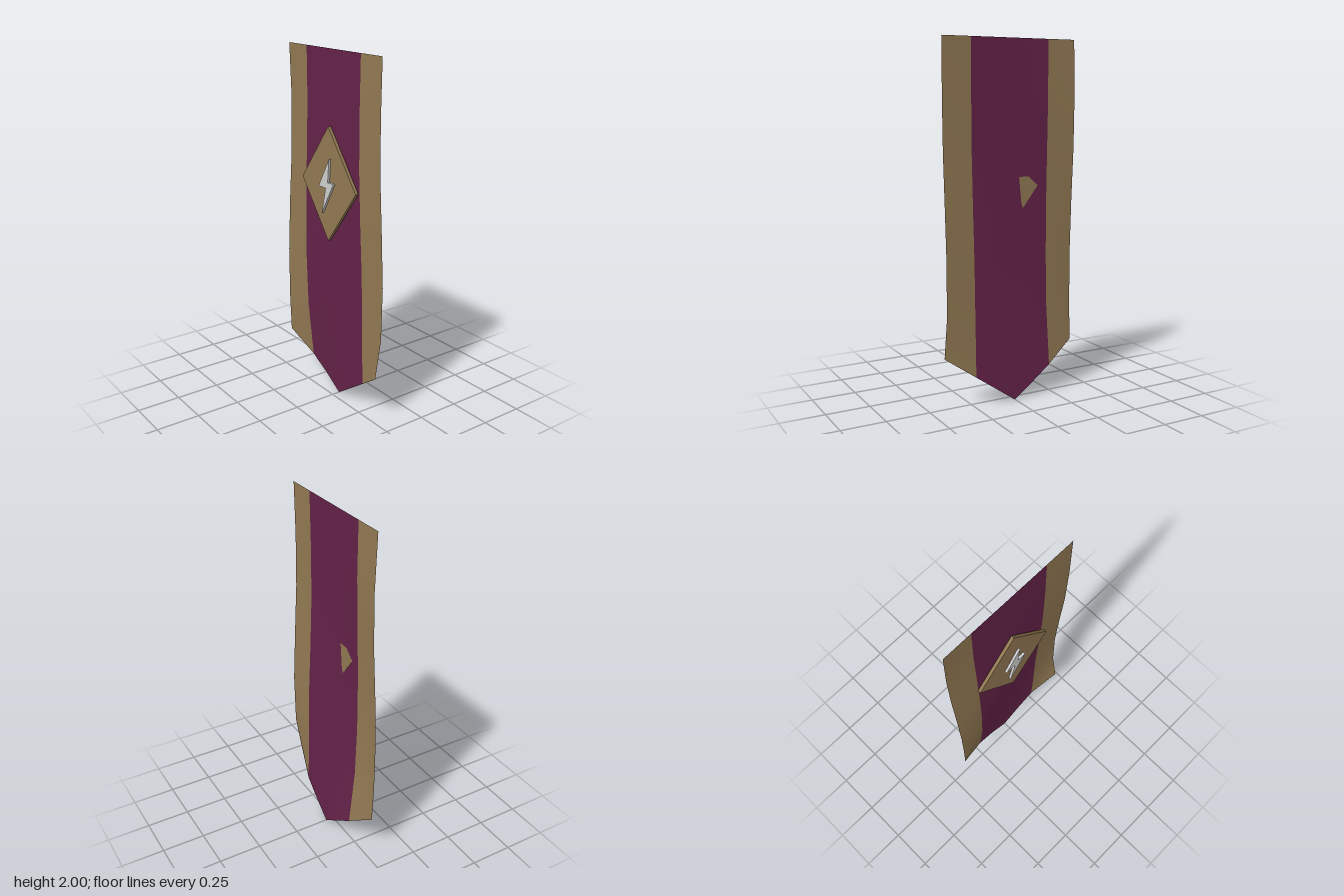
import * as THREE from 'three';

const flat = (name, color, side = THREE.FrontSide) => {
  const m = new THREE.MeshStandardMaterial({ color, side });
  m.name = name;
  return m;
};

// Hanging cloth: each column lists its depth from the top edge to the pointed hem
function clothGeometry() {
  const rows = [2, 1.7, 1.4, 1.1, 0.8, 0.5];
  const columns = [
    { x: -0.405, z: [0, -0.01, -0.005, 0.012, 0.024, 0.023, 0.015] },
    { x: -0.236, z: [0, -0.002, 0.006, 0.013, 0.014, 0.004, -0.03] },
    { x: -0.12, z: [0, 0.002, 0.009, 0.015, 0.007, -0.008, -0.042] },
    { x: 0, z: [0, 0.004, 0.009, 0.007, -0.005, -0.02, -0.047] },
    { x: 0.12, z: [0, 0.004, 0.007, 0, -0.014, -0.026, -0.043] },
    { x: 0.236, z: [0, 0.004, 0.003, -0.008, -0.022, -0.028, -0.036] },
    { x: 0.405, z: [0, 0.004, 0, -0.016, -0.03, -0.025, 0.01] },
  ];
  const n = rows.length + 1;
  const points = [];
  for (const { x, z } of columns) {
    const hem = 0.28 * Math.abs(x) / 0.405;
    z.forEach((depth, i) => points.push(x, i < rows.length ? rows[i] : hem, depth));
  }

  const geometry = new THREE.BufferGeometry();
  const index = [];
  const last = columns.length - 2;
  for (let c = 0; c <= last; c++) {
    // Outer columns are the borders, the rest is the centre
    geometry.addGroup(index.length, (n - 1) * 6, c === 0 || c === last ? 0 : 1);
    for (let r = 0; r < n - 1; r++) {
      const a = c * n + r, b = a + 1, d = a + n, e = d + 1;
      index.push(a, b, d, b, e, d);
    }
  }
  geometry.setAttribute('position', new THREE.Float32BufferAttribute(points, 3));
  geometry.setIndex(index);
  geometry.computeVertexNormals();
  return geometry;
}

// Flat plate cut from an outline, spanning back to front in z
function plate(name, outline, back, front, material) {
  const shape = new THREE.Shape(outline.map(([x, y]) => new THREE.Vector2(x, y)));
  const geometry = new THREE.ExtrudeGeometry(shape, { depth: front - back, bevelEnabled: false });
  const mesh = new THREE.Mesh(geometry, material);
  mesh.name = name;
  mesh.position.z = back;
  return mesh;
}

export function createModel() {
  const gold = flat('gold', 0x917852);
  const goldCloth = flat('gold cloth', 0x917852, THREE.DoubleSide);
  const plumCloth = flat('plum cloth', 0x642248, THREE.DoubleSide);
  const silver = flat('silver', 0xcfcfcf);

  const banner = new THREE.Group();
  banner.name = 'banner';

  const cloth = new THREE.Mesh(clothGeometry(), [goldCloth, plumCloth]);
  cloth.name = 'cloth';
  banner.add(cloth);

  // Diamond plate with a raised zigzag ornament
  banner.add(plate('diamondPlate',
    [[0, 1.6], [-0.243, 1.282], [0, 0.964], [0.243, 1.282]], 0.012, 0.03, gold));
  banner.add(plate('zigzagOrnament',
    [[0.028, 1.43], [-0.068, 1.265], [-0.004, 1.265], [-0.038, 1.118], [0.067, 1.3], [0.016, 1.3]],
    0.032, 0.045, silver));

  return banner;
}
